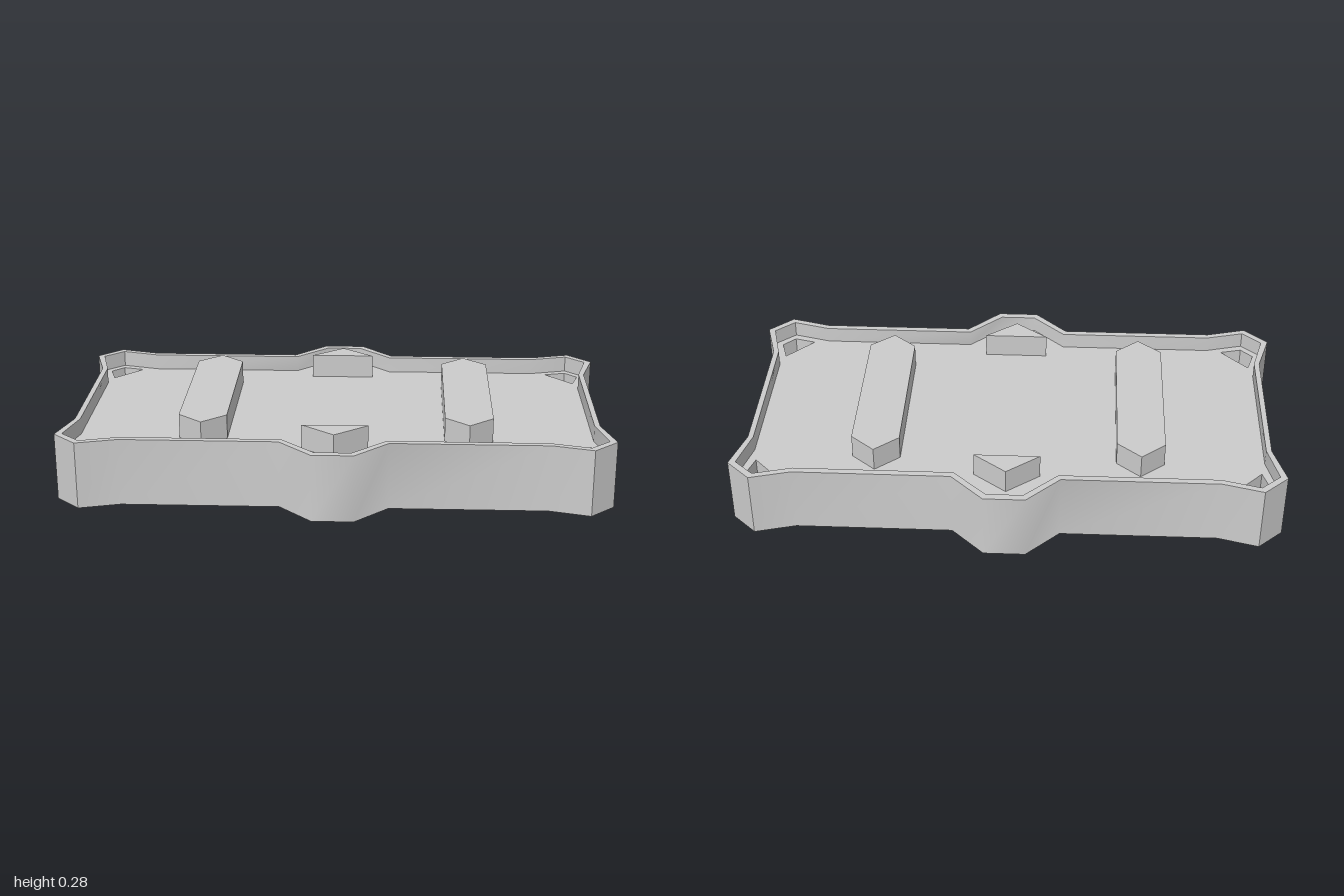
import * as THREE from 'three';
import { toCreasedNormals } from 'three/addons/utils/BufferGeometryUtils.js';

const RIM = 0.25, FLOOR = 0.19, TOP = 0.28, POCKET = 0.125;
const material = new THREE.MeshStandardMaterial({ color: 0xcccccc, side: THREE.DoubleSide });

// Mirror a point list by signs, keeping it counter-clockwise
function mirror(points, sx, sy) {
  const out = points.map(([x, y]) => [x * sx, y * sy]);
  return sx * sy < 0 ? out.reverse() : out;
}

// Full outline from the points of one quarter
function outline(q) {
  return [...mirror(q, 1, 1), ...mirror(q, -1, 1), ...mirror(q, -1, -1), ...mirror(q, 1, -1)];
}

const toShape = (pts) => new THREE.Shape(pts.map(([x, y]) => new THREE.Vector2(x, y)));

// Closed strip between two matching loops at two heights
function band(a, ya, b, yb, crease = 0.87) {
  const pos = [];
  a.forEach((p, i) => {
    const j = (i + 1) % a.length;
    const a0 = [p[0], ya, -p[1]], a1 = [a[j][0], ya, -a[j][1]];
    const b0 = [b[i][0], yb, -b[i][1]], b1 = [b[j][0], yb, -b[j][1]];
    pos.push(...a0, ...a1, ...b1, ...a0, ...b1, ...b0);
  });
  const g = new THREE.BufferGeometry();
  g.setAttribute('position', new THREE.Float32BufferAttribute(pos, 3));
  g.computeVertexNormals();
  return toCreasedNormals(g, crease);
}

// Horizontal sheet
function sheet(pts, y, holes = []) {
  const shape = toShape(pts);
  holes.forEach((h) => shape.holes.push(toShape(h)));
  return new THREE.ShapeGeometry(shape).rotateX(-Math.PI / 2).translate(0, y, 0);
}

// Upright prism, seated slightly into the floor
function prism(pts) {
  const y0 = FLOOR - 0.01;
  return new THREE.ExtrudeGeometry(toShape(pts), { depth: TOP - y0, bevelEnabled: false })
    .rotateX(-Math.PI / 2).translate(0, y0, 0);
}

export function createModel() {
  const group = new THREE.Group();
  const add = (name, geometry, parent = group) => {
    const mesh = new THREE.Mesh(geometry, material);
    mesh.name = name;
    parent.add(mesh);
  };

  const outer = outline([[0.955, 0.28], [1, 0.437], [0.912, 0.52], [0.765, 0.48], [0.195, 0.48], [0.075, 0.6]]);
  const inner = outline([[0.935, 0.28], [0.973, 0.43], [0.903, 0.494], [0.762, 0.456], [0.187, 0.456], [0.066, 0.573]]);

  // Tray shell, open underneath
  add('outerWall', band(outer, 0, outer, RIM));
  add('rim', band(outer, RIM, inner, RIM));
  add('innerWall', band(inner, RIM, inner, FLOOR));

  // Floor with a sunken pocket in each corner
  const corner = [[0.92, 0.34], [0.945, 0.42], [0.9, 0.465], [0.82, 0.445]];
  const signs = [[1, 1], [-1, 1], [-1, -1], [1, -1]];
  const pockets = signs.map(([sx, sy]) => mirror(corner, sx, sy));
  add('floor', sheet(inner, FLOOR, pockets));
  for (const p of pockets) {
    const pocket = new THREE.Group();
    pocket.name = 'cornerPocket';
    add('pocketWall', band(p, FLOOR, p, POCKET, 0.3), pocket);
    add('pocketBottom', sheet(p, POCKET), pocket);
    group.add(pocket);
  }

  // Long pointed bars and the triangular blocks in the front and back bays
  const bar = [[0.395, -0.3], [0.482, -0.375], [0.57, -0.3], [0.57, 0.3], [0.482, 0.375], [0.395, 0.3]];
  const wedge = [[-0.12, 0.388], [0.12, 0.388], [0, 0.482]];
  for (const s of [1, -1]) {
    add(s > 0 ? 'leftBar' : 'rightBar', prism(mirror(bar, s, 1)));
    add(s > 0 ? 'backWedge' : 'frontWedge', prism(mirror(wedge, 1, s)));
  }
  return group;
}
